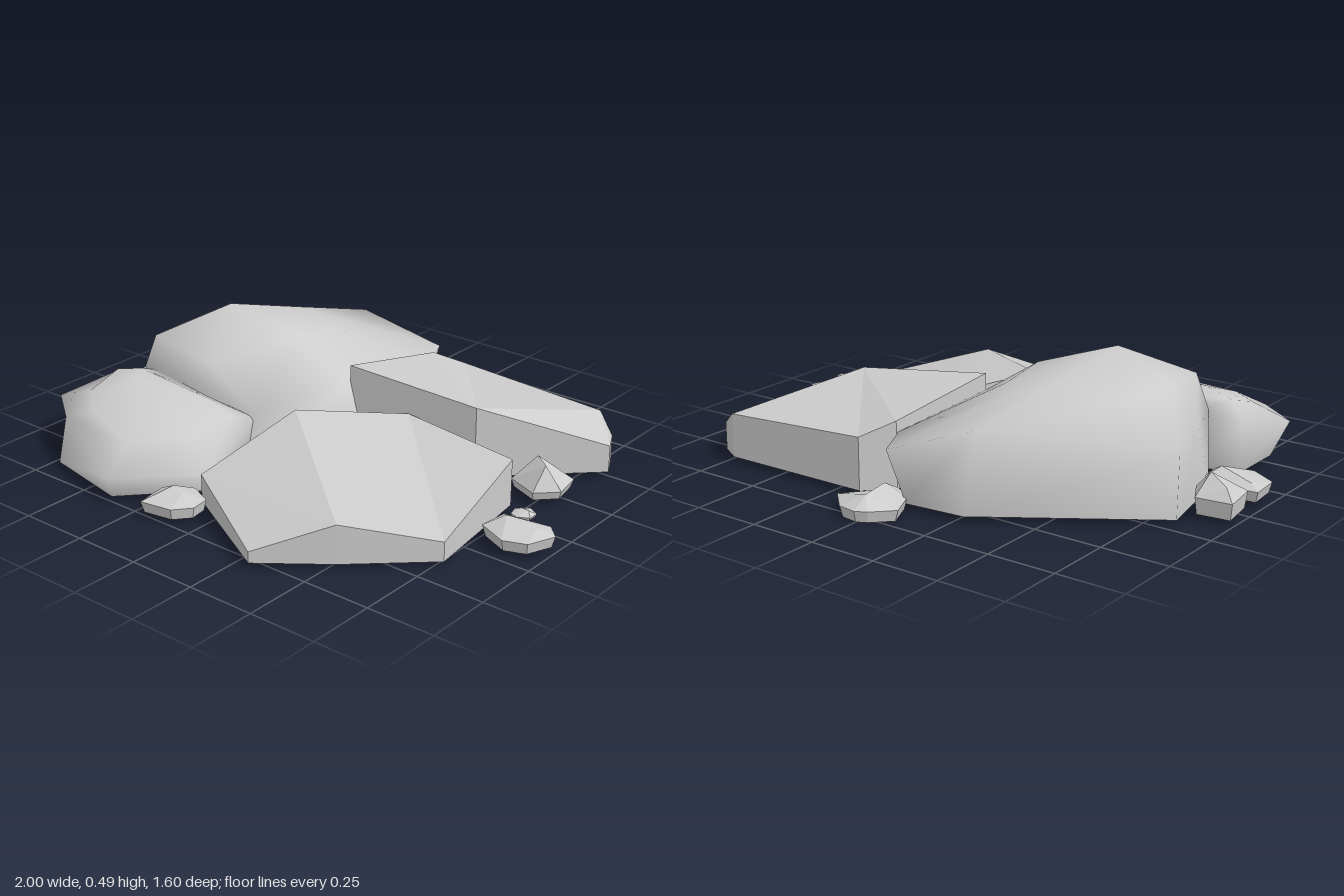
import * as THREE from 'three';

const FLOOR = 0.02;

// Open-bottomed shell lofted through rings of [x, y, z] points, low to high,
// then closed by triangles over the last ring or by a fan to a peak.
function shell(rings, { peak, tris = [] }) {
  const n = rings[0].length;
  const points = rings.flat();
  const index = [];
  const last = (rings.length - 1) * n;
  for (let r = 0; r < rings.length - 1; r++) {
    for (let i = 0; i < n; i++) {
      const a = r * n + i, b = r * n + (i + 1) % n;
      index.push(a, a + n, b, b, a + n, b + n);
    }
  }
  if (peak) {
    points.push(peak);
    for (let i = 0; i < n; i++) index.push(last + i, points.length - 1, last + (i + 1) % n);
  }
  for (const [a, b, c] of tris) index.push(last + a, last + c, last + b);
  const geometry = new THREE.BufferGeometry();
  geometry.setAttribute('position', new THREE.Float32BufferAttribute(points.flat(), 3));
  geometry.setIndex(index);
  geometry.computeVertexNormals();
  return geometry;
}

const atHeight = (ring, y) => ring.map(([x, z]) => [x, y, z]);

// Slab: vertical walls under a faceted top
function slab(top, tris) {
  return shell([top.map(([x, , z]) => [x, FLOOR, z]), top], { tris });
}

// Pebble: smaller base, outline at the belt, and a two-point ridge on top
function pebble({ outline, base = FLOOR, belt, ridge }) {
  const n = outline.length;
  const cx = outline.reduce((s, p) => s + p[0], 0) / n;
  const cz = outline.reduce((s, p) => s + p[1], 0) / n;
  const foot = outline.map(([x, z]) => [cx + (x - cx) * 0.9, base, cz + (z - cz) * 0.9]);
  const distance = ([x, z], p) => Math.hypot(x - p[0], z - p[2]);
  const top = outline.map((p) => (distance(p, ridge[0]) < distance(p, ridge[1]) ? ridge[0] : ridge[1]));
  return shell([foot, atHeight(outline, belt), top], {});
}

export function createModel() {
  const group = new THREE.Group();
  const smooth = new THREE.MeshStandardMaterial({ color: 0xcccccc, side: THREE.DoubleSide });
  const flat = smooth.clone();
  flat.flatShading = true;
  const add = (name, geometry, material) => {
    const mesh = new THREE.Mesh(geometry, material);
    mesh.name = name;
    group.add(mesh);
  };

  // Large rounded boulder: base, belt, shoulder, peak
  add('largeBoulder', shell([
    atHeight([[-0.85, -0.21], [-0.28, -0.59], [-0.06, -0.61], [0.02, -0.45],
      [0.06, -0.08], [-0.12, 0.3], [-0.7, 0.25], [-0.79, 0.1]], FLOOR),
    [[-0.86, 0.25, -0.22], [-0.33, 0.32, -0.59], [-0.03, 0.22, -0.67], [0.05, 0.22, -0.51],
      [0, 0.27, -0.09], [-0.14, 0.22, 0.26], [-0.7, 0.25, 0.24], [-0.78, 0.25, 0.04]],
    [[-0.66, 0.37, -0.1], [-0.4, 0.4, -0.29], [-0.25, 0.355, -0.32], [-0.2, 0.37, -0.25],
      [-0.2, 0.4, -0.06], [-0.35, 0.36, 0.26], [-0.66, 0.375, 0.22], [-0.67, 0.375, 0.04]],
  ], { peak: [-0.47, 0.485, 0.02] }), smooth);

  // Smaller rounded boulder in front of it
  add('smallBoulder', shell([
    atHeight([[-0.8, 0.3], [-0.66, 0.26], [-0.37, 0.3], [-0.16, 0.28],
      [-0.13, 0.5], [-0.36, 0.75], [-0.7, 0.68], [-0.8, 0.52]], FLOOR),
    [[-0.82, 0.21, 0.27], [-0.66, 0.24, 0.22], [-0.37, 0.24, 0.28], [-0.15, 0.2, 0.25],
      [-0.12, 0.09, 0.52], [-0.35, 0.1, 0.775], [-0.72, 0.17, 0.62], [-0.88, 0.17, 0.5]],
    [[-0.74, 0.26, 0.34], [-0.66, 0.27, 0.3], [-0.37, 0.265, 0.33], [-0.2, 0.22, 0.32],
      [-0.22, 0.2, 0.5], [-0.36, 0.185, 0.67], [-0.62, 0.21, 0.58], [-0.74, 0.22, 0.48]],
  ], { peak: [-0.6, 0.28, 0.38] }), smooth);

  // Two broad flat slabs
  add('frontSlab', slab(
    [[0.24, 0.2, -0.12], [0.72, 0.19, -0.06], [0.78, 0.09, 0.4], [0.53, 0.16, 0.63],
      [0.31, 0.06, 0.8], [-0.1, 0.12, 0.58], [0, 0.26, 0.21]],
    [[0, 1, 2], [0, 2, 3], [0, 3, 6], [3, 5, 6], [3, 4, 5]]), flat);
  add('backSlab', slab(
    [[0.14, 0.21, -0.61], [0.72, 0.18, -0.615], [0.8, 0.12, -0.57], [0.84, 0.12, -0.49],
      [0.5, 0.28, -0.16], [0, 0.33, -0.09], [0.05, 0.26, -0.52]],
    [[4, 5, 6], [4, 6, 0], [4, 0, 1], [4, 1, 3], [1, 2, 3]]), flat);

  // Loose pebbles around the rim
  const pebbles = [
    { outline: [[0.68, -0.29], [0.81, -0.31], [0.83, -0.2], [0.76, -0.13], [0.64, -0.18], [0.65, -0.26]],
      belt: 0.05, ridge: [[0.7, 0.13, -0.25], [0.77, 0.135, -0.19]] },
    { outline: [[0.78, 0.07], [0.95, 0.05], [1, 0.1], [0.96, 0.2], [0.88, 0.23], [0.77, 0.18]],
      belt: 0.06, ridge: [[0.83, 0.095, 0.13], [0.94, 0.08, 0.12]] },
    { outline: [[0.77, -0.01], [0.81, -0.045], [0.85, -0.02], [0.85, 0.02], [0.81, 0.04], [0.78, 0.03]],
      base: 0.035, belt: 0.045, ridge: [[0.8, 0.06, 0], [0.83, 0.06, 0]] },
    { outline: [[-0.22, 0.65], [-0.13, 0.58], [-0.04, 0.62], [-0.03, 0.69], [-0.08, 0.75], [-0.2, 0.77]],
      belt: 0.06, ridge: [[-0.15, 0.095, 0.66], [-0.1, 0.085, 0.67]] },
    { outline: [[-1, -0.12], [-0.87, -0.135], [-0.82, -0.04], [-0.86, 0.02], [-0.98, 0.02]],
      belt: 0.08, ridge: [[-0.96, 0.12, -0.09], [-0.88, 0.145, -0.05]] },
    { outline: [[-0.99, 0.07], [-0.77, 0.05], [-0.76, 0.2], [-0.88, 0.25], [-0.98, 0.19]],
      belt: 0.06, ridge: [[-0.95, 0.075, 0.1], [-0.82, 0.1, 0.13]] },
    { outline: [[-0.11, -0.71], [-0.04, -0.78], [0, -0.8], [0.07, -0.79], [0.15, -0.71], [0.02, -0.55], [-0.06, -0.6]],
      base: 0, belt: 0.04, ridge: [[0, 0.08, -0.74], [0.02, 0.08, -0.62]] },
  ];
  pebbles.forEach((p, i) => add(`pebble${i + 1}`, pebble(p), flat));

  return group;
}
